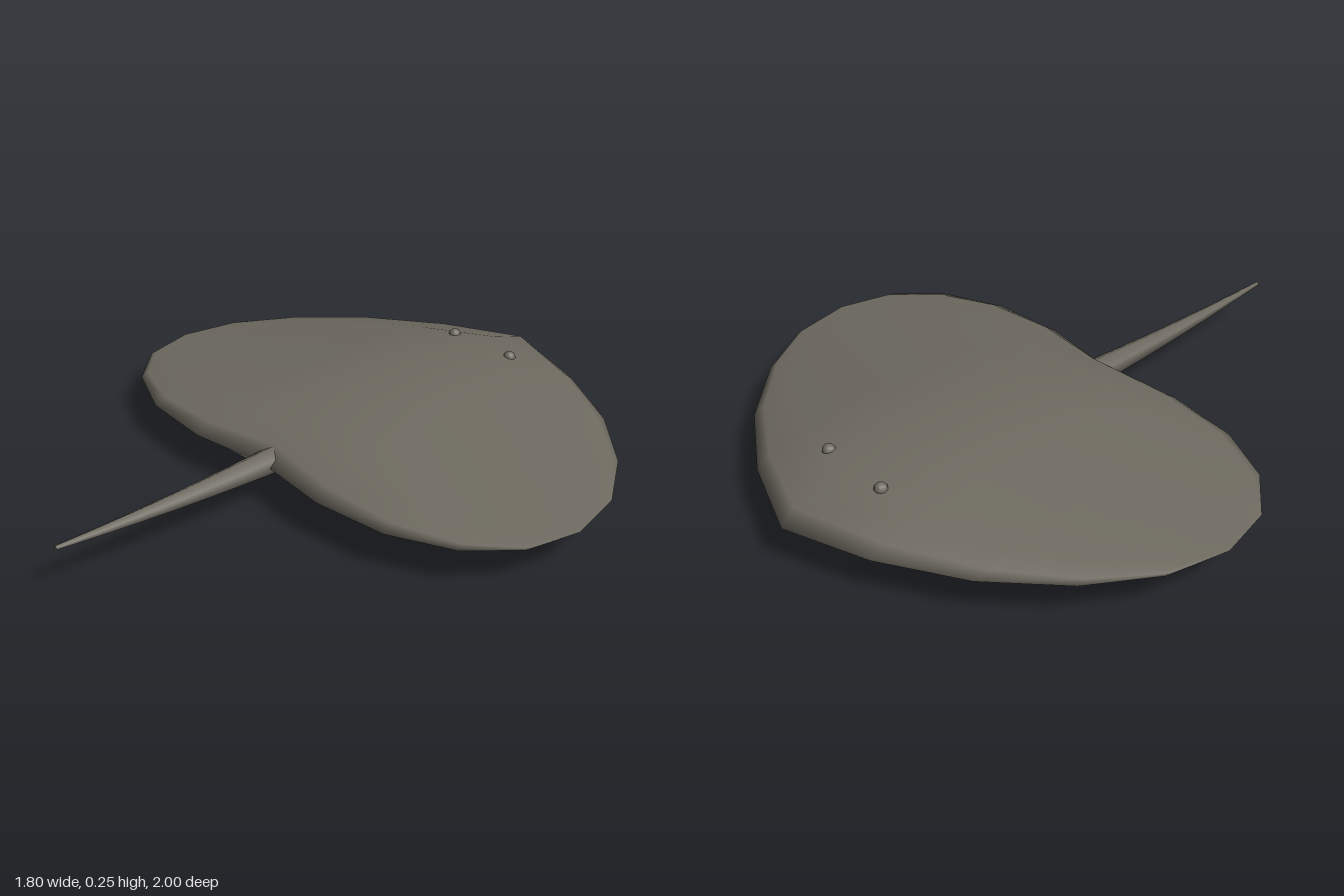
import * as THREE from 'three';

const MID_Y = 0.125, HALF_SPAN = 0.9, HALF_THICK = 0.125, SIDES = 16;

// Leading and trailing edge z, from the centre line out to the wing tip
const LEAD = [-1, -0.9, -0.75, -0.56, -0.36, -0.155];
const TRAIL = [0.25, 0.285, 0.26, 0.17, 0.03, -0.155];

// Disc body: elliptical chord sections lofted from wing tip to wing tip
function discGeometry() {
  const positions = [], index = [];
  for (let i = -5; i <= 5; i++) {
    const k = Math.abs(i);
    const x = HALF_SPAN * Math.sin(i * Math.PI / 10);
    const centre = (LEAD[k] + TRAIL[k]) / 2, radius = (TRAIL[k] - LEAD[k]) / 2;
    const thick = HALF_THICK * (1 - Math.abs(x) / HALF_SPAN);
    for (let j = 0; j < SIDES; j++) {
      const a = j / SIDES * Math.PI * 2;
      positions.push(x, MID_Y + thick * Math.sin(a), centre - radius * Math.cos(a));
    }
  }
  const addSkin = (from, to) => {
    for (let i = 0; i < 10; i++) {
      for (let j = from; j < to; j++) {
        const n = (j + 1) % SIDES;
        const a = i * SIDES + j, b = i * SIDES + n;
        const c = a + SIDES, d = b + SIDES;
        index.push(a, b, c, b, d, c);
      }
    }
  };
  addSkin(0, SIDES / 2);
  const topCount = index.length;
  addSkin(SIDES / 2, SIDES);

  const geo = new THREE.BufferGeometry();
  geo.setAttribute('position', new THREE.Float32BufferAttribute(positions, 3));
  geo.setIndex(index);
  geo.addGroup(0, topCount, 0);
  geo.addGroup(topCount, index.length - topCount, 1);
  geo.computeVertexNormals();
  return geo;
}

// Six-sided tapering tail that lifts gently toward the tip
function tailGeometry() {
  const length = 0.8, start = 0.2;
  const geo = new THREE.CylinderGeometry(0.007, 0.045, length, 6, 8);
  geo.rotateX(Math.PI / 2);
  geo.translate(0, MID_Y, start + length / 2);
  const p = geo.attributes.position;
  for (let i = 0; i < p.count; i++) {
    const s = (p.getZ(i) - start) / length;
    p.setY(i, p.getY(i) + 0.03 * s * s);
  }
  return geo;
}

export function createModel() {
  const model = new THREE.Group();
  model.name = 'ray';

  const skin = new THREE.MeshStandardMaterial({ color: 0x6e6a60 });
  skin.name = 'grey brown skin';
  const belly = new THREE.MeshStandardMaterial({ color: 0xe0e0de });
  belly.name = 'pale belly';

  const add = (name, geo, material) => {
    const mesh = new THREE.Mesh(geo, material);
    mesh.name = name;
    model.add(mesh);
    return mesh;
  };

  add('body', discGeometry(), [skin, belly]);
  add('tail', tailGeometry(), skin);

  // Small eyes set into the upper surface near the snout
  for (const side of [1, -1]) {
    const eye = add(side > 0 ? 'leftEye' : 'rightEye', new THREE.SphereGeometry(0.021, 10, 8), skin);
    eye.position.set(side * 0.125, 0.203, -0.745);
  }
  return model;
}
